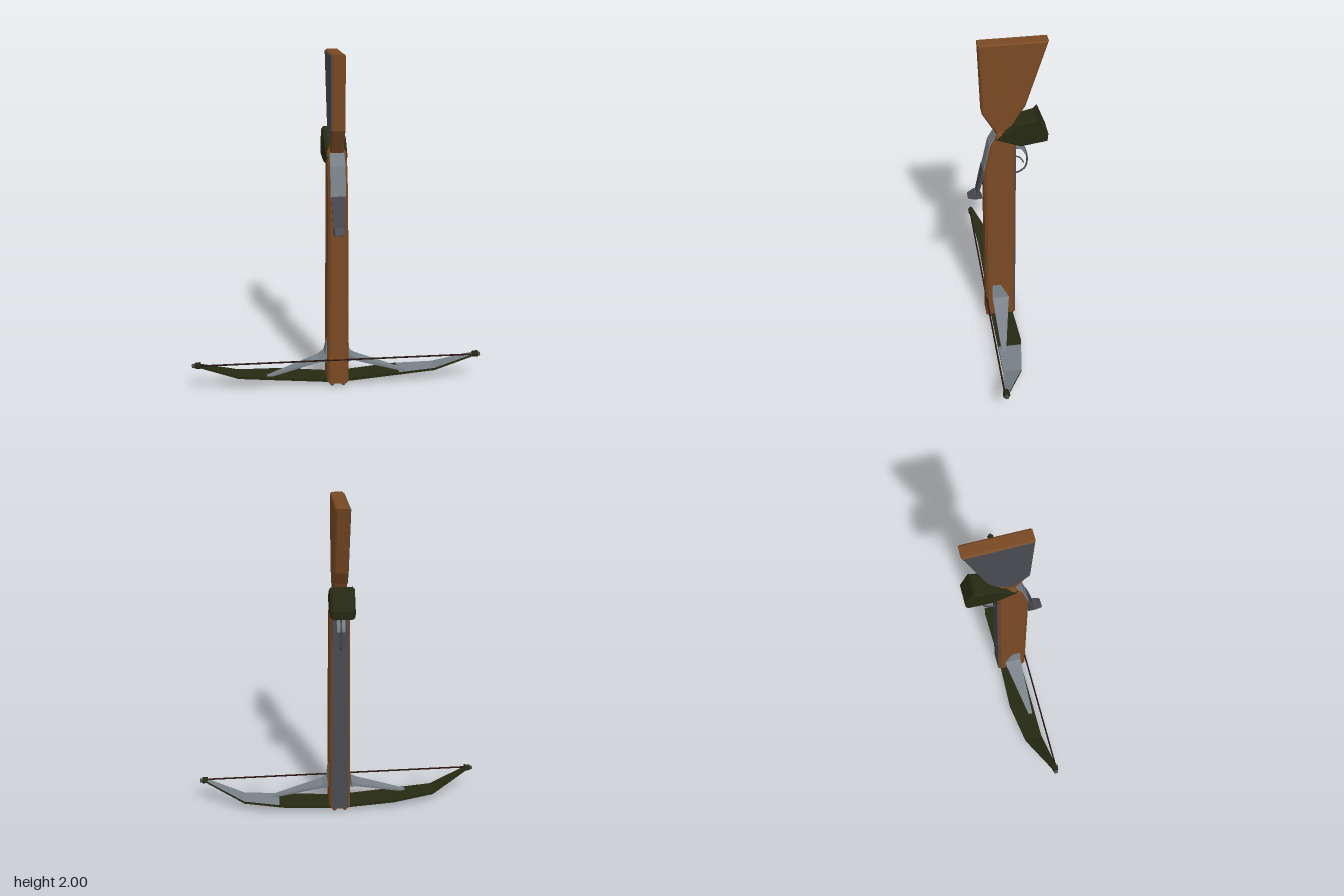
import * as THREE from 'three';

const mat = (name, color, opts = {}) => {
  const m = new THREE.MeshStandardMaterial({ color, ...opts });
  m.name = name;
  return m;
};

export function createModel() {
  const group = new THREE.Group();
  const wood = mat('brown wood', 0x7a4a24);
  const green = mat('dark green', 0x262a12);
  const steel = mat('light steel', 0x7a828a);
  const dark = mat('dark steel', 0x4a4a52);
  const cord = mat('string', 0x2a1414);

  const add = (name, geometry, material) => {
    const mesh = new THREE.Mesh(geometry, material);
    mesh.name = name;
    group.add(mesh);
    return mesh;
  };

  // Side profile of [z, y] points, given a width along x and chamfered edges
  const profile = (points, halfWidth, bevel = 0, centreX = 0) => {
    const shape = new THREE.Shape(points.map(p => new THREE.Vector2(...p)));
    const depth = 2 * (halfWidth - bevel);
    const g = new THREE.ExtrudeGeometry(shape, {
      depth, bevelEnabled: bevel > 0, bevelThickness: bevel,
      bevelSize: bevel, bevelOffset: -bevel, bevelSegments: 1,
    });
    g.translate(0, 0, -depth / 2);
    g.rotateY(-Math.PI / 2);
    return g.translate(centreX, 0, 0);
  };

  // Rescale x by a rule
  const reshapeX = (g, rule) => {
    const p = g.attributes.position;
    for (let i = 0; i < p.count; i++) p.setX(i, p.getX(i) * rule(p.getY(i), p.getZ(i)));
    g.computeVertexNormals();
    return g;
  };

  // Loft along x from sections [x, yBottom, yTop, zBack, zFront]; groups: top, front, bottom, back, ends
  const loft = (sections, side) => {
    const rings = sections.map(([x, y0, y1, z0, z1]) =>
      [[x, y1, z0], [x, y1, z1], [x, y0, z1], [x, y0, z0]].map(([a, b, c]) => [a * side, b, c]));
    const pos = [];
    const g = new THREE.BufferGeometry();
    const quad = (a, b, c, d) =>
      (side > 0 ? [a, d, c, a, c, b] : [a, c, d, a, b, c]).forEach(v => pos.push(...v));
    for (let j = 0; j < 4; j++) {
      const k = (j + 1) % 4;
      for (let i = 0; i < rings.length - 1; i++)
        quad(rings[i][j], rings[i + 1][j], rings[i + 1][k], rings[i][k]);
      g.addGroup(j * (rings.length - 1) * 6, (rings.length - 1) * 6, j);
    }
    const start = pos.length / 3;
    const last = rings[rings.length - 1];
    quad(...rings[0]);
    quad(last[3], last[2], last[1], last[0]);
    g.addGroup(start, 12, 4);
    g.setAttribute('position', new THREE.Float32BufferAttribute(pos, 3));
    g.computeVertexNormals();
    return g;
  };

  // Wooden body, slimmer towards the neck, with a dark strip along its back
  add('body', reshapeX(profile([
    [-0.042, 0.02], [0.14, 0.02], [0.14, 1.18], [0.102, 1.36], [0.06, 1.44], [0, 1.46], [-0.042, 1.37],
  ], 0.066, 0.015), y => 1 - 0.1 * y), wood);
  add('backStrip', reshapeX(profile([
    [-0.047, 0.03], [-0.04, 0.03], [-0.04, 1.36], [-0.047, 1.36],
  ], 0.053), y => 1 - 0.1 * y), dark);

  // Shoulder stock with a dark plate on its right side
  add('stock', profile([
    [0.16, 2], [-0.222, 2], [-0.1, 1.6], [-0.05, 1.52], [0, 1.42], [0.06, 1.42], [0.145, 1.57],
  ], 0.04, 0.009), wood);
  add('stockSidePlate', profile([
    [0.153, 1.992], [-0.212, 1.992], [-0.092, 1.6], [-0.045, 1.525], [0.04, 1.47], [0.138, 1.572],
  ], 0.003, 0, -0.04), dark);

  // Rear grip, wider at its end
  add('grip', reshapeX(profile([
    [0.075, 1.4], [0.04, 1.435], [-0.045, 1.5], [-0.16, 1.525], [-0.18, 1.548],
    [-0.23, 1.42], [-0.226, 1.37], [-0.075, 1.345],
  ], 0.066, 0.012), (y, z) => 0.97 - 0.45 * Math.min(z, 0.05)), green);

  // Front cover and cocking lever
  add('frontCover', profile([
    [0.144, 1.185], [0.107, 1.36], [0.066, 1.43], [0.03, 1.43], [0.07, 1.34], [0.1, 1.185],
  ], 0.045, 0.003), steel);
  add('lever', reshapeX(profile([
    [0.13, 1.19], [0.147, 1.19], [0.165, 1.11], [0.185, 1.01], [0.172, 1.0], [0.15, 1.1], [0.13, 1.13],
  ], 0.042), y => 0.8 + (y - 1) * 0.9), dark);
  add('leverFoot', profile([
    [0.195, 1.015], [0.168, 1.01], [0.148, 0.97], [0.19, 0.966], [0.235, 0.98], [0.232, 0.988],
  ], 0.03, 0.004), dark);

  // Trigger and guard
  const tube = (points, radius) => new THREE.TubeGeometry(
    new THREE.CatmullRomCurve3(points.map(([z, y]) => new THREE.Vector3(0, y, z))), 20, radius, 6);
  add('triggerGuard', tube([
    [-0.07, 1.35], [-0.105, 1.29], [-0.12, 1.22], [-0.11, 1.16], [-0.08, 1.13], [-0.045, 1.12],
  ], 0.005), dark);
  add('trigger', tube([[-0.045, 1.24], [-0.075, 1.23], [-0.1, 1.19]], 0.004), dark);
  add('triggerMount', profile([
    [-0.04, 1.36], [-0.08, 1.345], [-0.108, 1.28], [-0.112, 1.25], [-0.085, 1.3], [-0.04, 1.31],
  ], 0.025, 0.003), steel);

  // Bow limbs, struts, string tips and feet, mirrored
  const inner = [[0, 0.018, 0.035, -0.03, 0.11], [0.06, 0.02, 0.037, -0.03, 0.11],
    [0.34, 0.044, 0.06, -0.04, 0.11], [0.38, 0.047, 0.063, -0.034, 0.11]];
  const outer = [inner[3], [0.6, 0.066, 0.081, 0, 0.11], [0.84, 0.167, 0.18, 0.11, 0.145]];
  const strut = [[0.05, 0.14, 0.295, 0.05, 0.1], [0.066, 0.14, 0.285, 0.045, 0.1],
    [0.076, 0.15, 0.19, -0.003, 0.102], [0.11, 0.148, 0.168, 0.005, 0.1], [0.44, 0.052, 0.064, 0.07, 0.093]];
  for (const side of [1, -1]) {
    const s = side > 0 ? 'left' : 'right';
    add(s + 'InnerLimb', loft(inner, side), green);
    add(s + 'OuterLimb', loft(outer, side), side > 0
      ? [steel, green, green, green, green]
      : [green, green, steel, green, green]);
    add(s + 'Strut', loft(strut, side), steel);

    const tip = add(s + 'LimbTip', new THREE.CylinderGeometry(0.018, 0.022, 0.035, 8), green);
    tip.rotation.z = Math.PI / 2;
    tip.position.set(side * 0.843, 0.174, 0.13);
    const nock = add(s + 'Nock', new THREE.CylinderGeometry(0.012, 0.012, 0.022, 6), dark);
    nock.rotation.z = Math.PI / 2;
    nock.position.set(side * 0.865, 0.172, 0.13);

    for (const z of [0.11, -0.018])
      add(s + 'Foot', new THREE.CylinderGeometry(0.011, 0.011, 0.03, 8), dark)
        .position.set(side * 0.033, 0.015, z);
  }

  // Bow string across the front
  const string = add('bowString', new THREE.CylinderGeometry(0.005, 0.005, 1.68, 6), cord);
  string.rotation.z = Math.PI / 2;
  string.position.set(0, 0.174, 0.138);

  return group;
}
